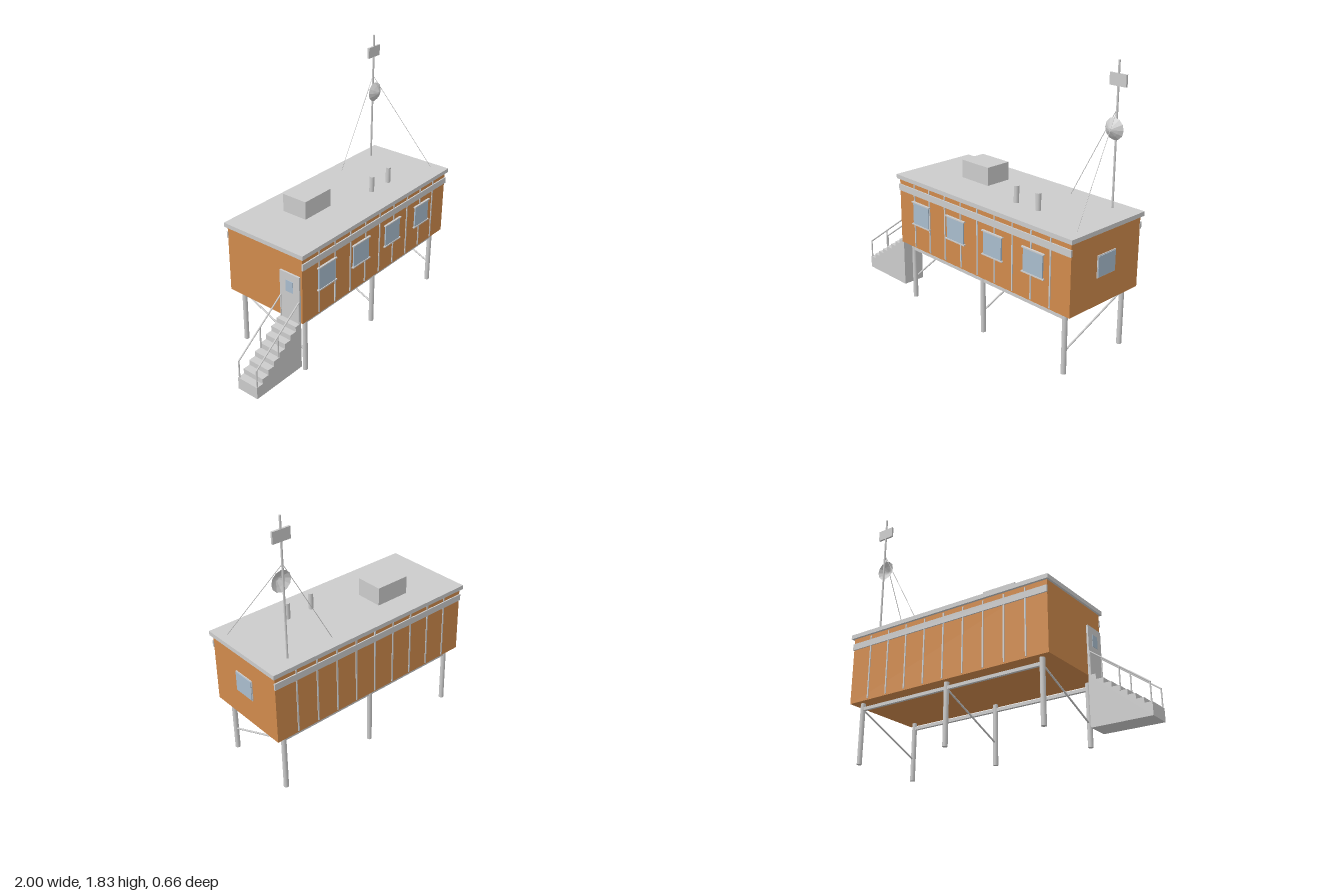
import * as THREE from 'three';

const grey = new THREE.MeshStandardMaterial({ color: 0xcccccc });
const greyThin = new THREE.MeshStandardMaterial({ color: 0xcccccc, side: THREE.DoubleSide, flatShading: true });
const orange = new THREE.MeshStandardMaterial({ color: 0xd08a4c });
const glass = new THREE.MeshStandardMaterial({ color: 0xa9bccd });

export function createModel() {
  const model = new THREE.Group();

  const add = (name, geometry, material = grey) => {
    const mesh = new THREE.Mesh(geometry, material);
    mesh.name = name;
    model.add(mesh);
    return mesh;
  };
  // Box given by its extents on each axis
  const box = (name, [x0, x1], [y0, y1], [z0, z1], material) => {
    const mesh = add(name, new THREE.BoxGeometry(x1 - x0, y1 - y0, z1 - z0), material);
    mesh.position.set((x0 + x1) / 2, (y0 + y1) / 2, (z0 + z1) / 2);
    return mesh;
  };
  // Round bar between two points
  const bar = (name, from, to, radius, sides = 8) => {
    const a = new THREE.Vector3(...from), b = new THREE.Vector3(...to);
    const mesh = add(name, new THREE.CylinderGeometry(radius, radius, a.distanceTo(b), sides));
    mesh.position.copy(a).add(b).multiplyScalar(0.5);
    mesh.quaternion.setFromUnitVectors(new THREE.Vector3(0, 1, 0), b.sub(a).normalize());
    return mesh;
  };

  // Cabin and roof
  box('cabinBody', [-0.59, 0.98], [0.415, 0.886], [-0.313, 0.313], orange);
  box('roof', [-0.605, 0.997], [0.886, 0.915], [-0.33, 0.33]);

  // Wall ribs and eaves band on both long sides
  for (const s of [1, -1]) {
    const out = (d) => (s > 0 ? [0.31, d] : [-d, -0.31]);
    box('eavesBand', [-0.592, 0.984], [0.802, 0.847], out(0.322));
    for (let i = 1; i < 10; i++) {
      const x = -0.59 + i * 0.157;
      box('wallRib', [x - 0.005, x + 0.005], [0.425, 0.875], out(0.318));
    }
  }

  // Front windows with lintel and sill
  for (let i = 0; i < 4; i++) {
    const x = -0.36 + i * 0.349;
    box('frontWindow', [x - 0.08, x + 0.08], [0.595, 0.752], [0.31, 0.323], glass);
    for (const y of [0.59, 0.749]) {
      box('windowTrim', [x - 0.092, x + 0.092], [y, y + 0.008], [0.31, 0.328]);
    }
  }

  // End window
  box('endWindowFrame', [0.975, 0.986], [0.598, 0.742], [-0.082, 0.082]);
  box('endWindow', [0.975, 0.99], [0.603, 0.737], [-0.077, 0.077], glass);

  // Door at the stair end
  box('door', [-0.603, -0.588], [0.415, 0.752], [0.14, 0.3]);
  box('doorWindow', [-0.606, -0.6], [0.62, 0.7], [0.19, 0.25], glass);

  // Stilts, cross braces and long beams
  for (const x of [-0.515, 0.195, 0.905]) {
    for (const z of [-0.265, 0.265]) bar('stilt', [x, 0, z], [x, 0.416, z], 0.017, 12);
    bar('crossBrace', [x, 0.15, 0.265], [x, 0.375, -0.265], 0.006);
  }
  for (const z of [-0.265, 0.265]) {
    box('longBeam', [-0.515, 0.905], [0.365, 0.387], [z - 0.01, z + 0.01]);
  }

  // Solid stairs, extruded from a stepped profile
  const steps = 8, tread = 0.41 / steps, rise = 0.25 / (steps - 1);
  const profile = new THREE.Shape();
  profile.moveTo(-1, 0.08);
  profile.lineTo(-0.59, 0.08);
  profile.lineTo(-0.59, 0.415);
  for (let i = steps - 1; i >= 0; i--) {
    const x = -1 + i * tread;
    profile.lineTo(x, 0.165 + i * rise);
    if (i > 0) profile.lineTo(x, 0.165 + (i - 1) * rise);
  }
  const stairs = new THREE.ExtrudeGeometry(profile, { depth: 0.16, bevelEnabled: false });
  add('stairs', stairs).position.z = 0.14;

  // Handrails on both sides
  for (const z of [0.146, 0.294]) {
    for (const t of [0, 0.5, 1]) {
      const x = -0.992 + t * 0.388;
      bar('railPost', [x, 0.15 + t * 0.25, z], [x, 0.287 + t * 0.285, z], 0.005);
    }
    bar('handrail', [-0.994, 0.286, z], [-0.602, 0.573, z], 0.005);
  }

  // Roof equipment
  box('roofUnit', [-0.245, 0.005], [0.91, 1.04], [-0.145, 0.045]);
  for (const x of [0.352, 0.54]) bar('ventPipe', [x, 0.91, 0.125], [x, 1.027, 0.125], 0.017, 16);

  // Mast with panel antenna, dish and guy wires
  const mx = 0.823, mz = -0.235;
  bar('mast', [mx, 0.91, mz], [mx, 1.83, mz], 0.007, 10);
  box('panelAntenna', [mx - 0.062, mx + 0.062], [1.675, 1.75], [mz - 0.007, mz + 0.007]);
  const dishProfile = [[0.07, 0], [0.045, 0.02], [0.012, 0.041], [0, 0.043]].map((p) => new THREE.Vector2(...p));
  const dish = add('dish', new THREE.LatheGeometry(dishProfile, 12), greyThin);
  dish.rotation.x = Math.PI / 2;
  dish.position.set(mx, 1.42, -0.217);
  for (const [x, z] of [[0.48, -0.24], [0.935, 0.222]]) {
    bar('guyWire', [mx, 1.537, mz], [x, 0.913, z], 0.002, 6);
  }

  return model;
}
